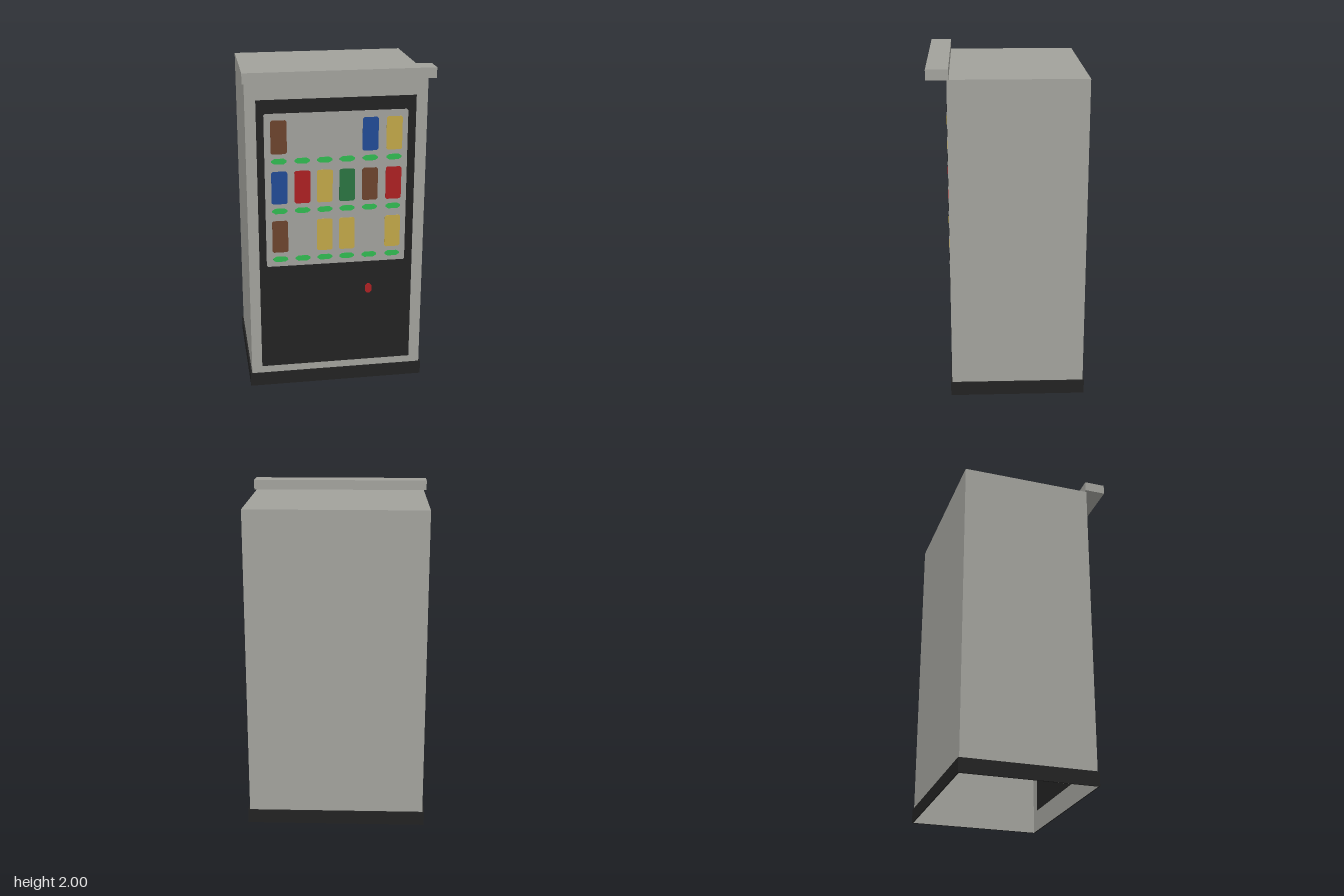
import * as THREE from 'three';

const mat = (name, color, side = THREE.FrontSide) => {
  const m = new THREE.MeshStandardMaterial({ color, side });
  m.name = name;
  return m;
};

export function createModel() {
  const group = new THREE.Group();
  const M = {
    body: mat('cabinet grey', 0xa1a19b, THREE.DoubleSide),
    window: mat('window grey', 0xa09f9b),
    black: mat('black', 0x222222),
    brown: mat('brown', 0x6b432d),
    blue: mat('blue', 0x214a94),
    yellow: mat('yellow', 0xbfa548),
    red: mat('red', 0xaa2022),
    green: mat('green', 0x2a7341),
    light: mat('button green', 0x30b850),
  };
  const add = (name, geometry, material, x = 0, y = 0, z = 0) => {
    const mesh = new THREE.Mesh(geometry, material);
    mesh.name = name;
    mesh.position.set(x, y, z);
    group.add(mesh);
    return mesh;
  };

  // Thin plate with clipped corners, its back resting at z = 0
  const plate = (w, h, cx, cy, depth) => {
    const a = w / 2, b = h / 2;
    const pts = [[-a + cx, -b], [a - cx, -b], [a, -b + cy], [a, b - cy],
      [a - cx, b], [-a + cx, b], [-a, b - cy], [-a, -b + cy]];
    const shape = new THREE.Shape(pts.map(p => new THREE.Vector2(...p)));
    return new THREE.ExtrudeGeometry(shape, { depth, bevelEnabled: false });
  };

  // Cabinet shell: a box left open underneath
  const H = 1.94, back = -0.45, front = 0.345;
  const shell = new THREE.BoxGeometry(1.06, H, front - back);
  const index = Array.from(shell.index.array);
  index.splice(18, 6); // bottom face
  shell.setIndex(index);
  shell.clearGroups();
  add('cabinet', shell, M.body, 0, H / 2, (front + back) / 2);

  // Canopy bar over the front
  add('canopy', new THREE.BoxGeometry(1.095, 0.06, 0.126), M.body, 0, 1.97, 0.397);

  // Plinth: a hollow frame around the foot of the cabinet
  const rect = (Type, w, d) => new Type([[-w, -d], [w, -d], [w, d], [-w, d]]
    .map(p => new THREE.Vector2(...p)));
  const ring = rect(THREE.Shape, 0.54, 0.405);
  ring.holes.push(rect(THREE.Path, 0.5305, 0.398));
  const plinth = new THREE.ExtrudeGeometry(ring, { depth: 0.085, bevelEnabled: false });
  plinth.rotateX(-Math.PI / 2);
  add('plinth', plinth, M.black, 0, 0, (front + back) / 2);

  // Front panel and display window
  add('frontPanel', new THREE.BoxGeometry(0.93, 1.69, 0.003), M.black, -0.002, 0.975, 0.346);
  add('displayWindow', plate(0.84, 0.94, 0.008, 0.008, 0.003), M.window, -0.004, 1.27, 0.346);

  // Three shelves of products, each with a row of buttons below
  const columns = [-0.34, -0.205, -0.073, 0.06, 0.196, 0.337];
  const shelves = [
    { y: 1.6, items: ['brown', null, null, null, 'blue', 'yellow'] },
    { y: 1.295, items: ['blue', 'red', 'yellow', 'green', 'brown', 'red'] },
    { y: 0.99, items: ['brown', null, 'yellow', 'yellow', null, 'yellow'] },
  ];
  const product = plate(0.094, 0.2, 0.009, 0.009, 0.002);
  const button = plate(0.09, 0.034, 0.018, 0.012, 0.002);
  for (const { y, items } of shelves) {
    columns.forEach((x, i) => {
      if (items[i]) add('product', product, M[items[i]], x, y, 0.3488);
      add('selectButton', button, M.light, x, y - 0.144, 0.3488);
    });
  }

  // Red light on the lower panel
  add('statusLight', plate(0.04, 0.062, 0.012, 0.014, 0.003), M.red, 0.196, 0.62, 0.347);

  return group;
}
